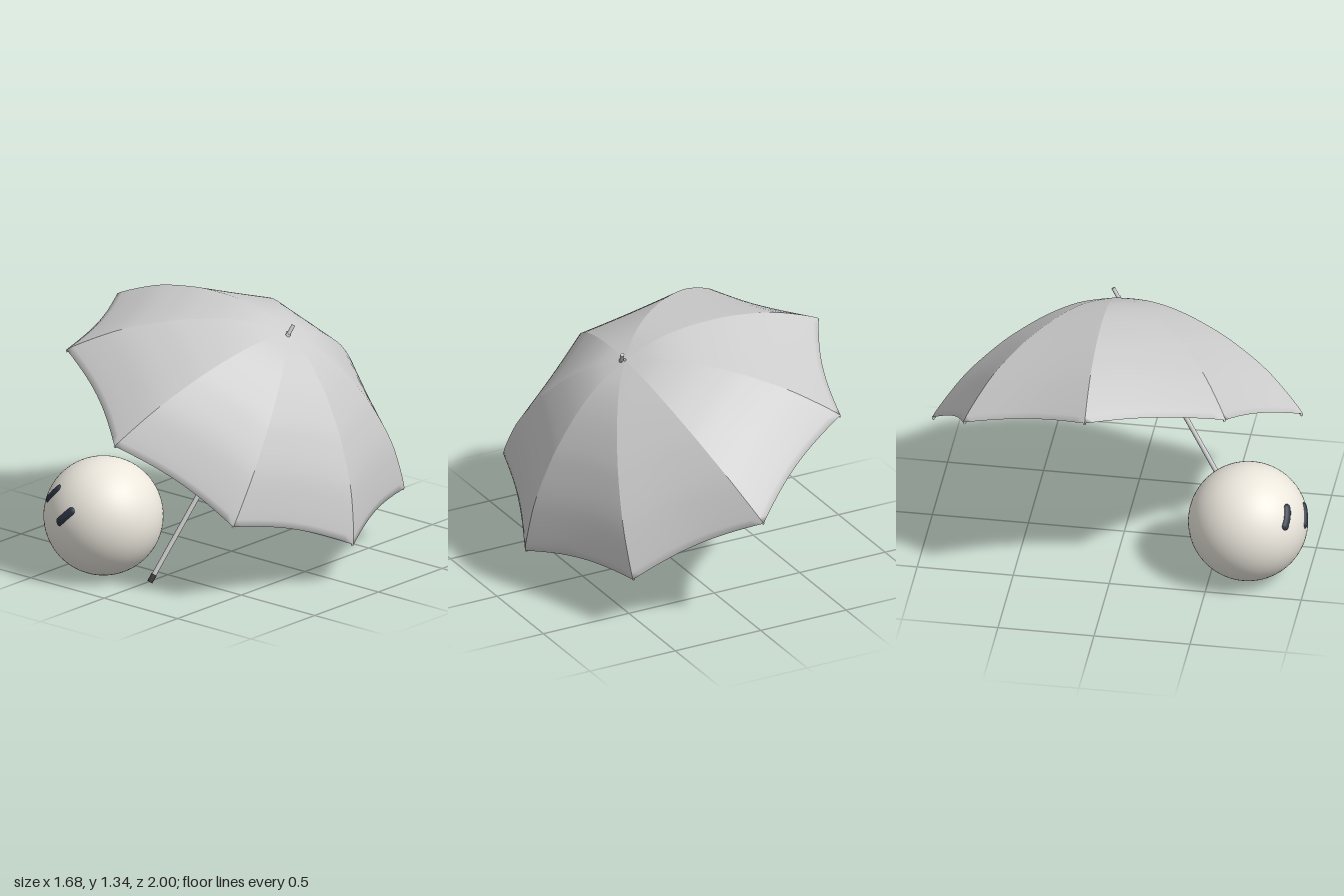
import * as THREE from 'three';
import { ParametricGeometry } from 'three/addons/geometries/ParametricGeometry.js';
import { mergeGeometries } from 'three/addons/utils/BufferGeometryUtils.js';

const V = (x, y, z) => new THREE.Vector3(x, y, z);
const PANELS = 8;
const HALF = Math.PI / PANELS;
const THICKNESS = 0.016;

// Rib profile: radius and height in the canopy's own frame
const profile = new THREE.SplineCurve([
  [0.008, 0.6], [0.18, 0.58], [0.34, 0.525], [0.5, 0.44],
  [0.63, 0.352], [0.8, 0.205], [0.97, 0],
].map(([r, h]) => new THREE.Vector2(r, h)));

function material(color) {
  return new THREE.MeshStandardMaterial({ color });
}

function addMesh(parent, name, geometry, mat) {
  const mesh = new THREE.Mesh(geometry, mat);
  mesh.name = name;
  parent.add(mesh);
  return mesh;
}

// Cylinder between two points
function rod(parent, name, a, b, radius, mat) {
  const mesh = addMesh(parent, name, new THREE.CylinderGeometry(radius, radius, a.distanceTo(b), 20), mat);
  mesh.position.copy(a).add(b).multiplyScalar(0.5);
  mesh.quaternion.setFromUnitVectors(V(0, 1, 0), b.clone().sub(a).normalize());
  return mesh;
}

// One cloth panel, stretched between two ribs, outside and lining in one sheet
function panel(index) {
  const geometry = new ParametricGeometry((u, v, target) => {
    const across = 2 * u - 1;
    const s = 1 - Math.abs(2 * v - 1);
    const p = profile.getPoint(s);
    const sag = s * s * (1 - across * across);
    const radius = p.x * Math.cos(HALF) / Math.cos(across * HALF) - 0.03 * sag;
    const angle = (2 * index + 1 + across) * HALF;
    const drop = THICKNESS * THREE.MathUtils.smoothstep(v, 0.47, 0.53);
    target.set(Math.cos(angle) * radius, p.y + 0.02 * sag - drop, Math.sin(angle) * radius);
  }, 16, 64);
  geometry.computeVertexNormals();
  return geometry;
}

function createCanopy(mat) {
  const canopy = new THREE.Group();
  canopy.name = 'canopy';
  const cloth = Array.from({ length: PANELS }, (_, i) => panel(i));
  const clothMat = mat.clone();
  clothMat.side = THREE.DoubleSide;
  addMesh(canopy, 'canopyCloth', mergeGeometries(cloth), clothMat);

  // Thin ribs under the seams
  const path = new THREE.CatmullRomCurve3(
    profile.getPoints(16).map((p) => V(p.x * 0.995, p.y - THICKNESS - 0.002, 0)));
  const ribGeometry = new THREE.TubeGeometry(path, 32, 0.006, 8);
  for (let i = 0; i < PANELS; i++) {
    addMesh(canopy, 'rib', ribGeometry, mat).rotation.y = -i * 2 * HALF;
  }

  // Tilt the canopy over the ball
  const up = V(0.503, 0.858, -0.096).normalize();
  const side = V(0.862, -0.501, 0.04);
  side.addScaledVector(up, -side.dot(up)).normalize();
  const out = side.clone().cross(up);
  canopy.quaternion.setFromRotationMatrix(new THREE.Matrix4().makeBasis(side, up, out));
  canopy.position.set(0, 0.718, -0.036);
  return canopy;
}

// Pole with a dark foot and the tip poking through the canopy
function createPole(mat, dark) {
  const pole = new THREE.Group();
  pole.name = 'pole';
  const bottom = V(0.025, 0.012, 0.67);
  const top = V(0.326, 1.275, -0.11);
  const at = (t) => bottom.clone().lerp(top, t);
  rod(pole, 'shaft', at(0.02), at(0.965), 0.0125, mat);
  rod(pole, 'tip', at(0.95), top, 0.01, mat);
  rod(pole, 'foot', bottom, at(0.03), 0.0145, dark);
  return pole;
}

// Round ball with two slanted oval eyes
function createBall(mat, dark) {
  const R = 0.309;
  const ball = new THREE.Group();
  ball.name = 'ball';
  addMesh(ball, 'ballBody', new THREE.SphereGeometry(R, 64, 40), mat);
  const eyes = [
    ['rightEye', [-0.183, 0.109], [-0.117, 0.178]],
    ['leftEye', [-0.037, 0.035], [0.03, 0.102]],
  ];
  for (const [name, a, b] of eyes) {
    const points = [0, 0.25, 0.5, 0.75, 1].map((t) => {
      const x = THREE.MathUtils.lerp(a[0], b[0], t);
      const y = THREE.MathUtils.lerp(a[1], b[1], t);
      return V(x, y, Math.sqrt(R * R - x * x - y * y)).setLength(R - 0.017);
    });
    const ends = [points[0], points[4]].map((p) =>
      new THREE.SphereGeometry(0.027, 20, 14).translate(p.x, p.y, p.z));
    const tube = new THREE.TubeGeometry(new THREE.CatmullRomCurve3(points), 16, 0.027, 20);
    addMesh(ball, name, mergeGeometries([tube, ...ends]), dark);
  }
  ball.position.set(-0.275, R + 0.003, 0.688);
  return ball;
}

export function createModel() {
  const model = new THREE.Group();
  model.name = 'ballUnderUmbrella';
  const grey = material(0xcccccc);
  model.add(
    createCanopy(grey),
    createPole(grey, material(0x3a3a3a)),
    createBall(material(0xebe7dd), material(0x2f3747)),
  );
  return model;
}
